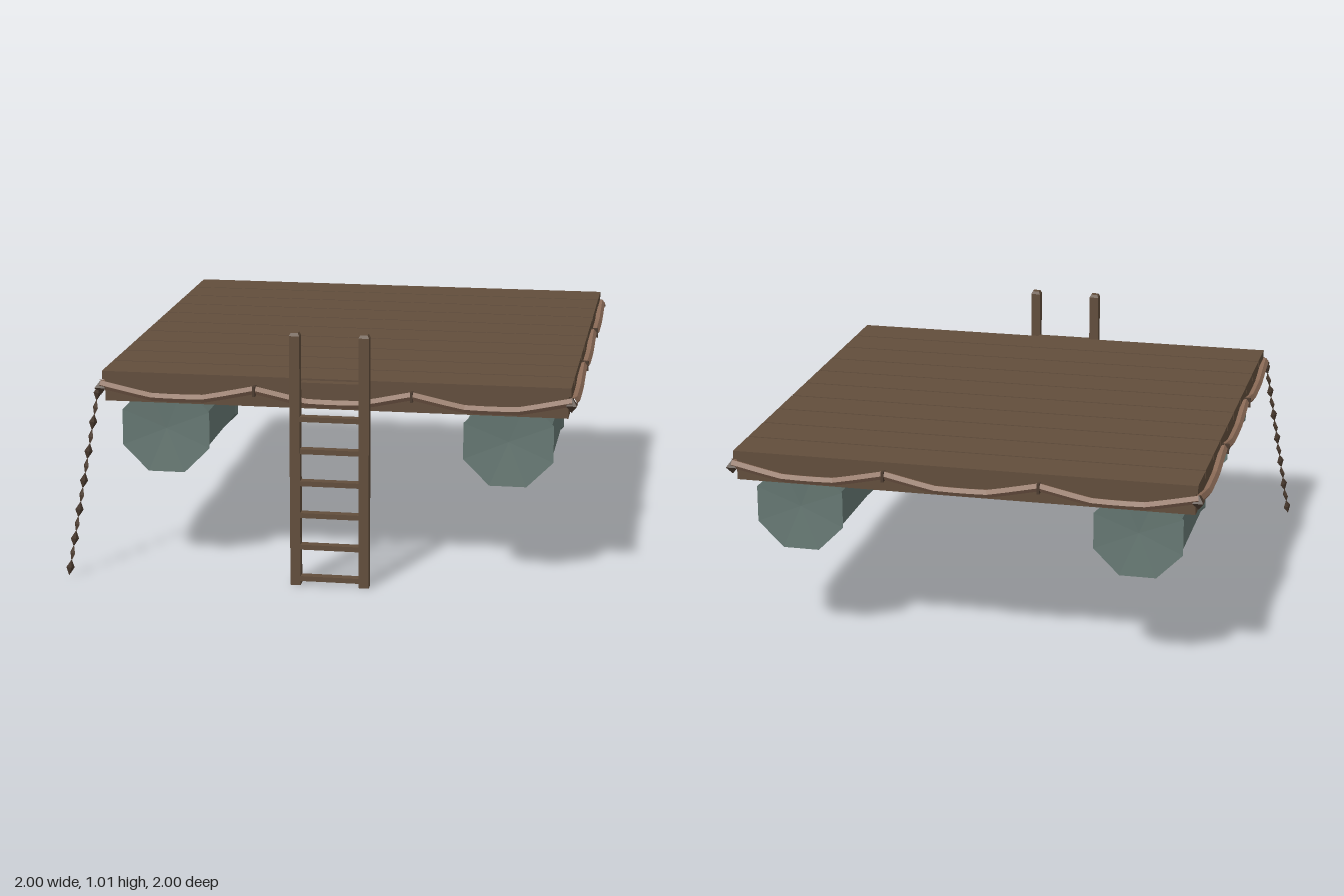
import * as THREE from 'three';

const flat = (name, color) => {
  const m = new THREE.MeshStandardMaterial({ color, flatShading: true });
  m.name = name;
  return m;
};

export function createModel() {
  const wood = flat('brown wood', 0x624e3c);
  const ropeMat = flat('pale rope', 0x8a6a56);
  const dark = flat('dark brown', 0x4c3c30);
  const drumMat = flat('grey green drum', 0x667873);
  const root = new THREE.Group();
  root.name = 'raft';

  const add = (name, geo, mat, x = 0, y = 0, z = 0, parent = root) => {
    const mesh = new THREE.Mesh(geo, mat);
    mesh.name = name;
    mesh.position.set(x, y, z);
    parent.add(mesh);
    return mesh;
  };
  const box = (name, mat, x0, x1, y0, y1, z0, z1, parent) =>
    add(name, new THREE.BoxGeometry(x1 - x0, y1 - y0, z1 - z0), mat,
      (x0 + x1) / 2, (y0 + y1) / 2, (z0 + z1) / 2, parent);

  const cx = 0.048, cz = -0.052;

  // Deck planks with narrow gaps
  for (let i = 0; i < 10; i++) {
    const z = -0.974 + i * 0.1848;
    box('deckPlank', wood, -0.872, 0.968, 0.782, 0.816, z, z + 0.176);
  }

  // Frame under the deck: outer rails and two inner joists
  for (const s of [-1, 1]) {
    const z = cz + s * 0.885, x = cx + s * 0.885;
    box('endRail', wood, -0.862, 0.958, 0.695, 0.782, z - 0.025, z + 0.025);
    box('sideRail', wood, x - 0.025, x + 0.025, 0.695, 0.782, cz - 0.86, cz + 0.86);
  }
  for (const x of [-0.633, 0.725]) box('joist', wood, x - 0.03, x + 0.03, 0.71, 0.782, cz - 0.86, cz + 0.86);

  // Swagged rope around the edge: three dips per side
  const half = 0.925;
  for (let side = 0; side < 4; side++) {
    const g = new THREE.Group();
    g.name = 'ropeSide';
    g.position.set(cx, 0, cz);
    g.rotation.y = side * Math.PI / 2;
    root.add(g);
    for (let k = 0; k < 3; k++) {
      const x0 = -half + k * half * 2 / 3, step = half * 2 / 9;
      const path = new THREE.CurvePath();
      const pts = [0.765, 0.722, 0.722, 0.765].map((y, i) => new THREE.Vector3(x0 + i * step, y, half));
      const curve = new THREE.CatmullRomCurve3(pts, false, 'catmullrom', 0.15);
      add('ropeSwag', new THREE.TubeGeometry(curve, 9, 0.017, 5), ropeMat, 0, 0, 0, g);
      if (k) add('ropePeg', new THREE.BoxGeometry(0.01, 0.04, 0.044), dark, x0, 0.762, half, g);
    }
    // Corner knot
    const knot = add('cornerKnot', new THREE.OctahedronGeometry(0.03), dark, half - 0.002, 0.752, half - 0.002, g);
    knot.rotation.y = Math.PI / 4;
  }

  // Eight-sided drums with rims and slightly sunken ends
  const profile = [[0, -0.262], [0.19, -0.275], [0.18, -0.255], [0.18, 0.255], [0.19, 0.275], [0, 0.262]]
    .map(([r, y]) => new THREE.Vector2(r, y));
  const drumGeo = new THREE.LatheGeometry(profile, 8, Math.PI / 8);
  drumGeo.rotateX(Math.PI / 2);
  for (const x of [-0.633, 0.725])
    for (const z of [0.53, -0.625]) add('floatDrum', drumGeo, drumMat, x, 0.575, z);

  // Ladder
  const ladder = new THREE.Group();
  ladder.name = 'ladder';
  root.add(ladder);
  for (const x of [-0.09, 0.18]) {
    box('ladderPost', wood, x - 0.02, x + 0.02, 0, 1, 0.905, 0.945, ladder);
    const cap = new THREE.CylinderGeometry(0.02, 0.0283, 0.012, 4);
    cap.rotateY(Math.PI / 4);
    add('postCap', cap, wood, x, 1.006, 0.925, ladder);
  }
  for (let i = 0; i < 6; i++) {
    const y = 0.027 + i * 0.129;
    box('rung', wood, -0.072, 0.162, y - 0.01, y + 0.01, 0.907, 0.943, ladder);
  }
  box('ladderStep', wood, -0.072, 0.162, 0.787, 0.81, 0.868, 0.908, ladder);

  // Mooring chain: flat diamond links, alternately turned
  const top = new THREE.Vector3(-0.882, 0.76, 0.878), end = new THREE.Vector3(-0.992, 0.012, 0.992);
  const chain = new THREE.Group();
  chain.name = 'mooringChain';
  chain.position.copy(top);
  chain.quaternion.setFromUnitVectors(new THREE.Vector3(0, -1, 0), end.clone().sub(top).normalize());
  root.add(chain);
  const n = 13, length = top.distanceTo(end), pitch = length / n;
  for (let i = 0; i < n; i++) {
    const link = add('chainLink', new THREE.OctahedronGeometry(1), dark, 0, -(i + 0.5) * pitch, 0, chain);
    link.scale.set(0.019, pitch * 0.56, 0.007);
    link.rotation.y = Math.PI / 4 + (i % 2) * Math.PI / 2;
  }
  return root;
}
